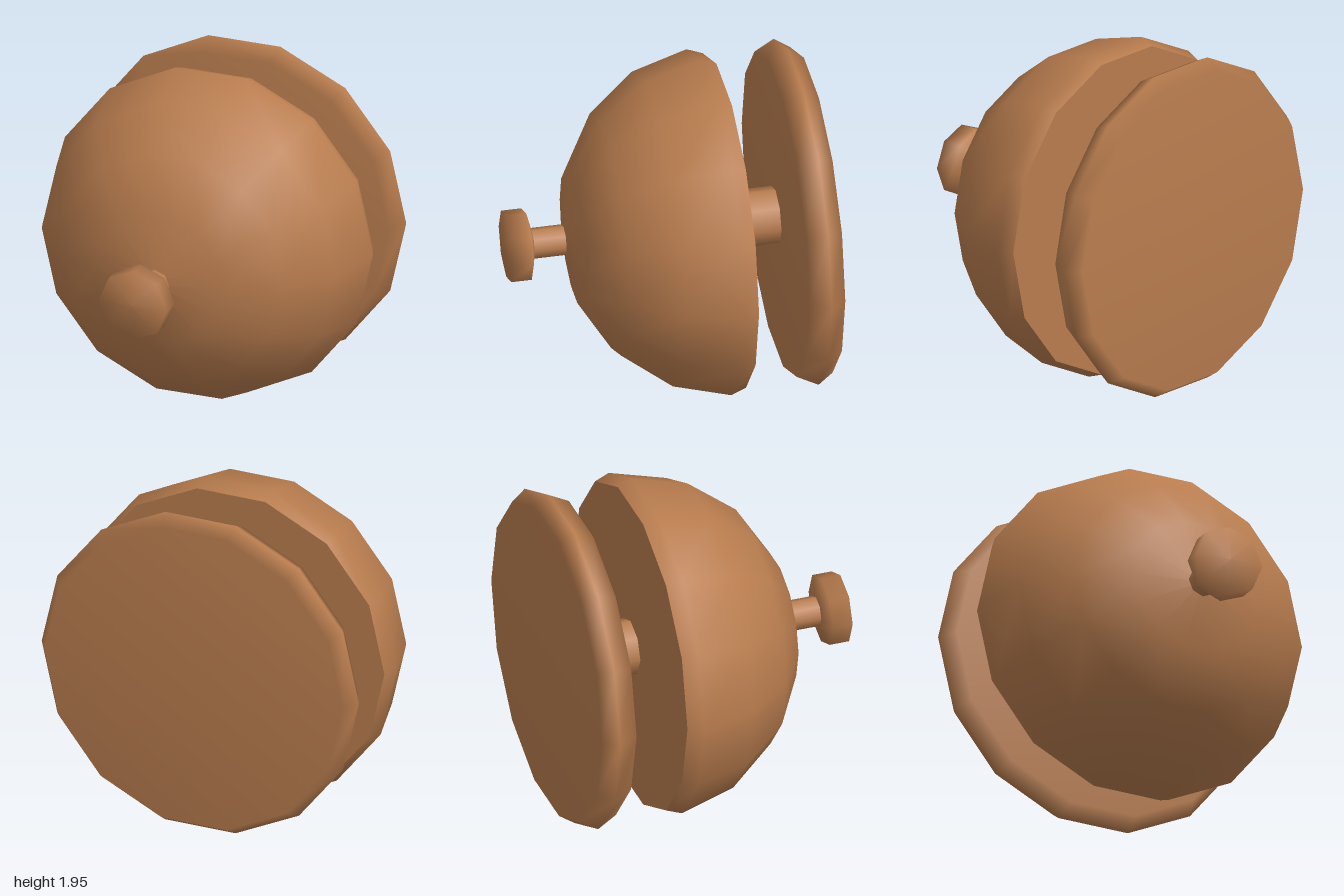
import * as THREE from 'three';

const CENTRE_Y = 0.975;

export function createModel() {
  const model = new THREE.Group();
  model.name = 'doorKnob';

  const bronze = new THREE.MeshStandardMaterial({ color: 0xb87c4e });
  bronze.name = 'bronze';

  function add(name, geometry) {
    const mesh = new THREE.Mesh(geometry, bronze);
    mesh.name = name;
    mesh.position.y = CENTRE_Y;
    model.add(mesh);
  }

  // Turned part along z; profile is [radius, z] from back to front
  function turned(name, profile, sides) {
    const points = profile.map(([r, z]) => new THREE.Vector2(r, z));
    add(name, new THREE.LatheGeometry(points, sides, Math.PI / 2).rotateX(Math.PI / 2));
  }

  // Flat disc facing the back
  function backDisc(name, radius, sides, z) {
    add(name, new THREE.CircleGeometry(radius, sides).rotateY(Math.PI).translate(0, 0, z));
  }

  // Wall plate with a bevelled rim
  turned('backPlate', [[0, -0.9], [0.94, -0.9], [1, -0.81], [0.94, -0.69], [0, -0.69]], 14);

  // Spindle between plate and dome
  turned('spindle', [[0.167, -0.69], [0.167, -0.39]], 8);

  // Dome grip with a flat back
  turned('dome', [[0.967, -0.39], [1, -0.3], [0.91, 0.03], [0.7, 0.305], [0.4, 0.488], [0, 0.55]], 14);
  backDisc('domeBack', 0.967, 14, -0.39);

  // Small button on a neck
  turned('buttonNeck', [[0.09, 0.55], [0.09, 0.74]], 8);
  backDisc('buttonNeckEnd', 0.09, 8, 0.55);
  turned('button', [[0.09, 0.737], [0.21, 0.767], [0.21, 0.885], [0, 0.9]], 8);

  return model;
}
